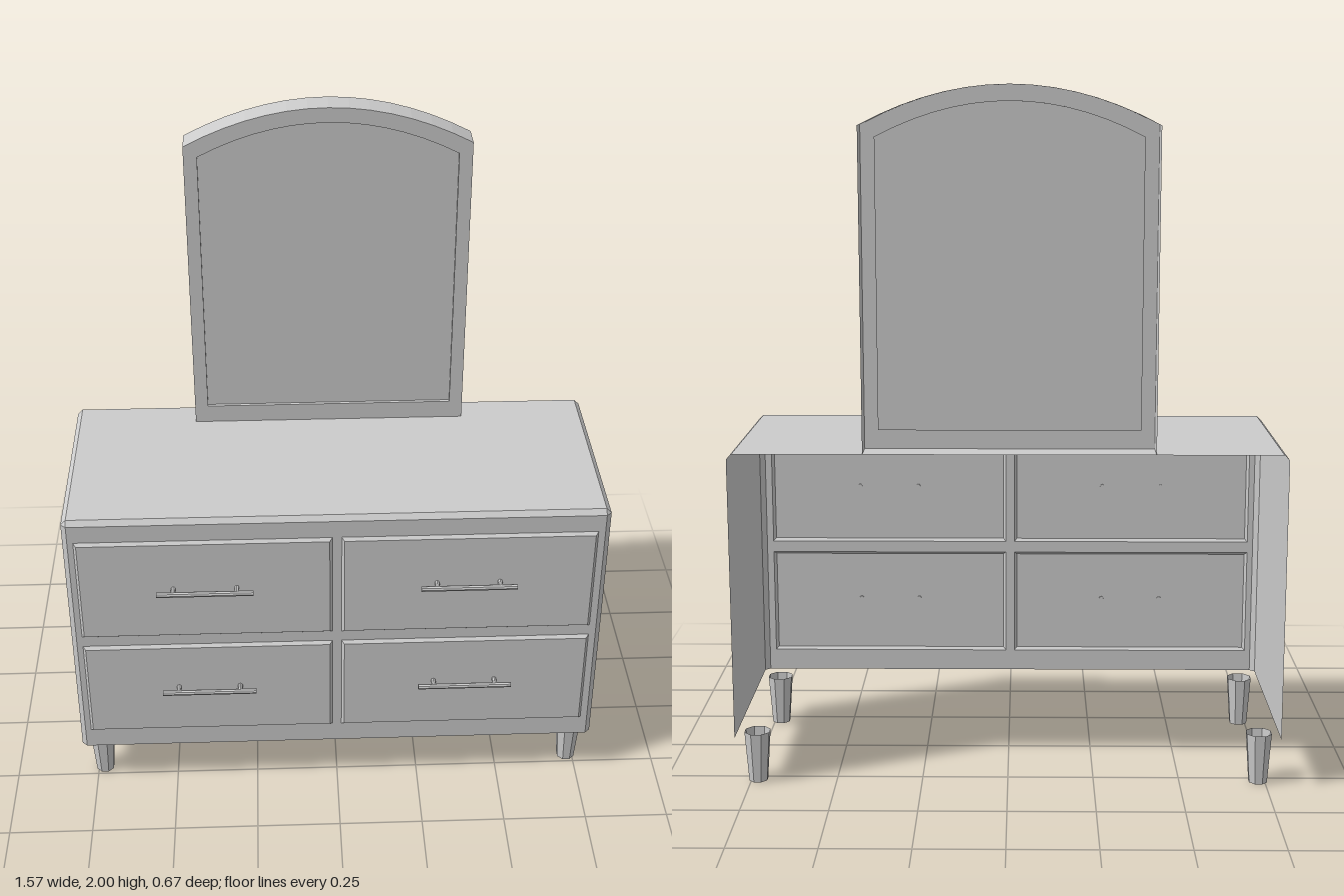
import * as THREE from 'three';

const material = new THREE.MeshStandardMaterial({
  color: 0xcccccc, flatShading: true, side: THREE.DoubleSide,
});

function add(parent, name, geometry, x = 0, y = 0, z = 0) {
  const mesh = new THREE.Mesh(geometry, material);
  mesh.name = name;
  mesh.position.set(x, y, z);
  parent.add(mesh);
  return mesh;
}

// Skin between outlines, each given as { pts: [[x, y], ...], z }
function loft(rings, closed = false) {
  const n = rings[0].pts.length;
  const positions = [], index = [];
  for (const { pts, z } of rings) for (const [x, y] of pts) positions.push(x, y, z);
  for (let r = 0; r < rings.length - 1; r++) {
    for (let i = 0; i < (closed ? n : n - 1); i++) {
      const j = (i + 1) % n;
      const a = r * n + i, b = r * n + j, c = b + n, d = a + n;
      index.push(a, b, c, a, c, d);
    }
  }
  const geometry = new THREE.BufferGeometry();
  geometry.setAttribute('position', new THREE.Float32BufferAttribute(positions, 3));
  geometry.setIndex(index);
  geometry.computeVertexNormals();
  return geometry;
}

// Flat face with optional holes
function face(outline, holes = []) {
  const vectors = (pts) => pts.map(([x, y]) => new THREE.Vector2(x, y));
  const shape = new THREE.Shape(vectors(outline));
  for (const hole of holes) shape.holes.push(new THREE.Path(vectors(hole)));
  return new THREE.ShapeGeometry(shape);
}

const rect = (x0, x1, y0, y1) => [[x0, y0], [x1, y0], [x1, y1], [x0, y1]];

// Rectangle with a shallow arched top, counter-clockwise from bottom left
function archOutline(half, bottom, shoulder, apex, segments = 14) {
  const pts = [[-half, bottom], [half, bottom]];
  for (let i = 0; i <= segments; i++) {
    const t = 1 - (2 * i) / segments;
    pts.push([half * t, apex - (apex - shoulder) * t * t]);
  }
  return pts;
}

const BACK = -0.335, FRONT = 0.286, DRAWER_FRONT = 0.296;

function makeDrawer(x0, x1, y0, y1) {
  const drawer = new THREE.Group();
  drawer.name = 'drawer';
  const b = 0.008;
  const outer = rect(x0, x1, y0, y1);
  const inner = rect(x0 + b, x1 - b, y0 + b, y1 - b);
  add(drawer, 'drawerRim', loft([{ pts: outer, z: FRONT }, { pts: inner, z: DRAWER_FRONT }], true));
  add(drawer, 'drawerPanel', face(inner), 0, 0, DRAWER_FRONT);

  // Bar handle on two posts
  const cx = (x0 + x1) / 2, cy = (y0 + y1) / 2 + 0.008;
  const bar = new THREE.CylinderGeometry(0.008, 0.008, 0.28, 8).rotateZ(Math.PI / 2);
  add(drawer, 'handleBar', bar, cx, cy, 0.326);
  for (const side of [-1, 1]) {
    const post = new THREE.CylinderGeometry(0.007, 0.007, 0.034, 8).rotateX(Math.PI / 2);
    add(drawer, 'handlePost', post, cx + side * 0.092, cy, 0.309);
  }
  return drawer;
}

function makeCabinet() {
  const cabinet = new THREE.Group();
  cabinet.name = 'cabinet';
  const w = 0.787, v = 0.772, bottom = 0.15, shoulder = 0.97, top = 0.985;

  // Top and sides with chamfered edges, open at the back and below
  const body = [[w, bottom], [w, shoulder], [v, top], [-v, top], [-w, shoulder], [-w, bottom]];
  const inset = [[v, bottom], [v, shoulder], [v, shoulder], [-v, shoulder], [-v, shoulder], [-v, bottom]];
  add(cabinet, 'cabinetShell', loft([
    { pts: body, z: BACK }, { pts: body, z: 0.272 }, { pts: inset, z: FRONT },
  ]));

  // Front frame and four drawers
  const openings = [];
  for (const [x0, x1] of [[-0.755, -0.015], [0.012, 0.752]]) {
    for (const [y0, y1] of [[0.215, 0.54], [0.575, 0.915]]) openings.push([x0, x1, y0, y1]);
  }
  add(cabinet, 'frontFrame',
    face(rect(-v, v, bottom, shoulder), openings.map((o) => rect(...o))), 0, 0, FRONT);
  for (const o of openings) cabinet.add(makeDrawer(...o));

  // Tapered legs: open tube plus a foot cap
  for (const x of [-0.73, 0.73]) {
    for (const z of [0.216, -0.272]) {
      const leg = new THREE.CylinderGeometry(0.039, 0.028, 0.15, 8, 1, true).rotateY(Math.PI / 8);
      add(cabinet, 'leg', leg, x, 0.075, z);
      const foot = new THREE.CircleGeometry(0.028, 8).rotateX(Math.PI / 2).rotateY(Math.PI / 8);
      add(cabinet, 'foot', foot, x, 0, z);
    }
  }
  return cabinet;
}

function makeMirror() {
  const mirror = new THREE.Group();
  mirror.name = 'mirror';
  mirror.position.x = -0.005;
  const front = -0.25, glass = -0.26;
  const outer = archOutline(0.411, 0.985, 1.89, 2);
  const inner = archOutline(0.372, 1.04, 1.858, 1.956);

  // Sides and arch, open at the back and where it meets the cabinet top
  const rim = [...outer.slice(1), outer[0]];
  add(mirror, 'mirrorRim', loft([{ pts: rim, z: BACK }, { pts: rim, z: front }]));
  add(mirror, 'mirrorFrame', face(outer, [inner]), 0, 0, front);

  // Recessed glass
  add(mirror, 'glassRecess', loft([{ pts: inner, z: front }, { pts: inner, z: glass }], true));
  add(mirror, 'glass', face(inner), 0, 0, glass);
  return mirror;
}

export function createModel() {
  const model = new THREE.Group();
  model.name = 'dresserWithMirror';
  model.add(makeCabinet(), makeMirror());
  return model;
}
